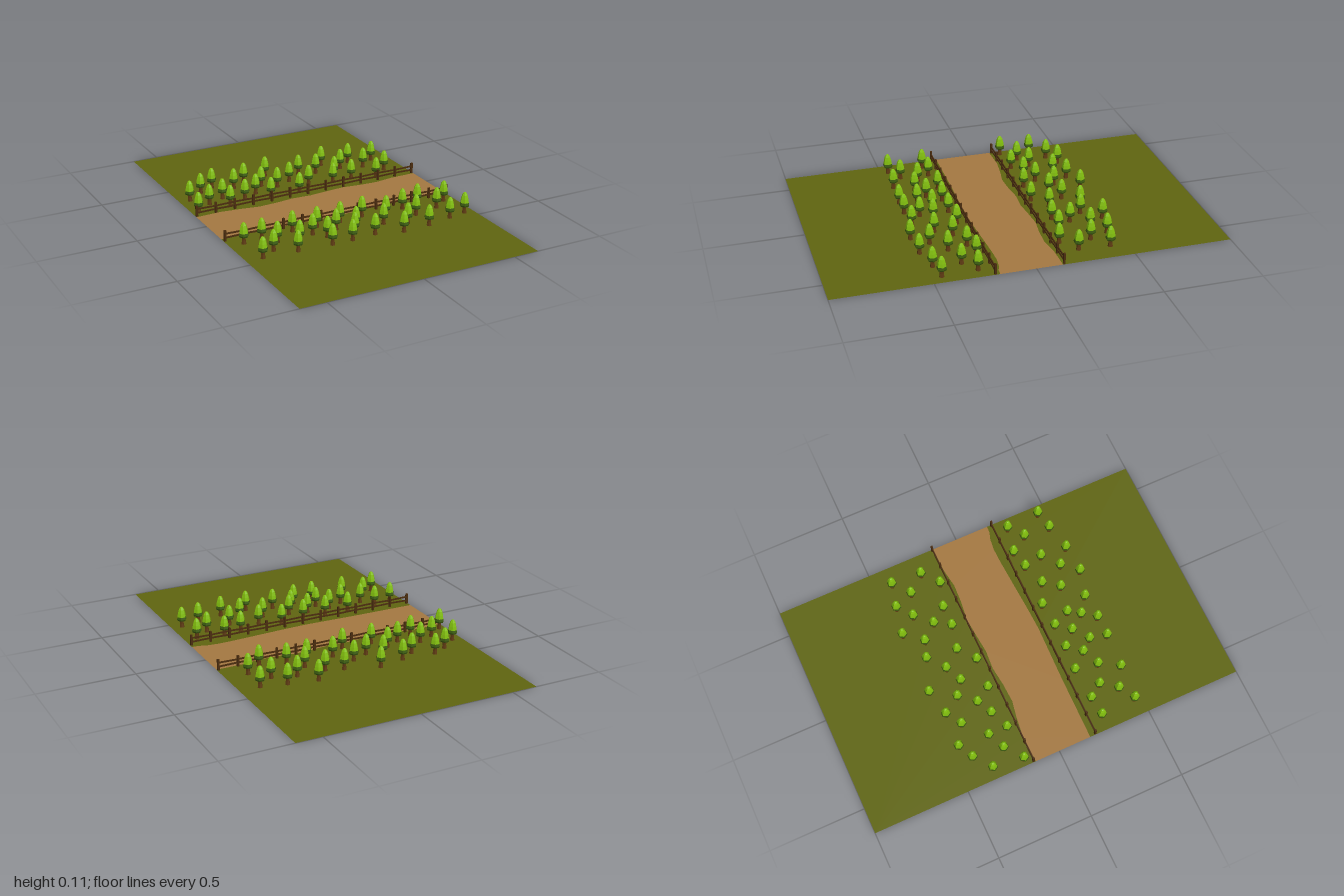
import * as THREE from 'three';

const material = (name, color, extra = {}) => {
  const m = new THREE.MeshStandardMaterial({ color, ...extra });
  m.name = name;
  return m;
};

// x, z of each tree in the two groves
const backGrove = [
  -.41, -.45, -.49, -.41, -.58, -.34, -.60, -.18, -.51, -.25, -.42, -.29, -.42, -.19, -.32, -.23,
  -.31, -.39, -.23, -.44, -.17, -.35, -.24, -.27, -.19, -.19, -.09, -.47, -.10, -.30, -.01, -.34,
  -.03, -.18, .08, -.41, .06, -.25, .17, -.38, .19, -.22, .25, -.47, .24, -.30, .32, -.38,
  .30, -.22, .40, -.44, .44, -.34, .43, -.18, .53, -.41, .52, -.25];
const frontGrove = [
  -.56, .27, -.46, .26, -.47, .41, -.55, .46, -.41, .33, -.37, .47, -.31, .37, -.29, .25,
  -.22, .33, -.16, .26, -.17, .39, -.19, .48, -.08, .48, -.09, .33, -.03, .26, -.03, .41,
  .01, .35, .05, .47, .10, .25, .15, .38, .21, .30, .19, .51, .26, .43, .33, .26,
  .35, .36, .34, .50, .43, .24, .49, .33, .48, .47, .57, .27, .58, .45];

// Wavy borders of the dirt path, as x, z
const backEdge = [[-.635, -.13], [-.5, -.135], [-.38, -.12], [-.3, -.105], [-.2, -.11], [-.1, -.122],
  [0, -.115], [.1, -.125], [.2, -.133], [.3, -.12], [.4, -.115], [.5, -.13], [.635, -.132]];
const frontEdge = [[-.635, .172], [-.3, .175], [0, .183], [.12, .178], [.25, .17], [.42, .16],
  [.5, .158], [.56, .165], [.6, .178], [.635, .18]];

export function createModel() {
  const model = new THREE.Group();
  const grass = material('grass green', 0x5f6510, { side: THREE.DoubleSide });
  const dirt = material('dirt brown', 0xa47841, { side: THREE.DoubleSide });
  const wood = material('fence wood', 0x4a2c0e, { flatShading: true });
  const bark = material('bark brown', 0x5e3a12, { flatShading: true });
  const leaf = material('leaf green', 0x82c00e, { flatShading: true });
  const shade = material('deep leaf green', 0x3c5c10, { flatShading: true });

  const add = (parent, name, geometry, mat, x = 0, y = 0, z = 0) => {
    const mesh = new THREE.Mesh(geometry, mat);
    mesh.name = name;
    mesh.position.set(x, y, z);
    parent.add(mesh);
    return mesh;
  };

  // Flat ground: two meadows with the path between them
  const flat = (name, points, mat) => {
    const shape = new THREE.Shape(points.map(([x, z]) => new THREE.Vector2(x, -z)));
    add(model, name, new THREE.ShapeGeometry(shape).rotateX(-Math.PI / 2), mat);
  };
  flat('backMeadow', [[-.635, -1], ...backEdge, [.635, -1]], grass);
  flat('frontMeadow', [[-.635, 1], ...frontEdge, [.635, 1]], grass);
  flat('path', [...backEdge, ...[...frontEdge].reverse()], dirt);

  // Six-sided trees: trunk, dark skirt and bright egg-shaped crown
  const lathe = (points) =>
    new THREE.LatheGeometry(points.map(([r, y]) => new THREE.Vector2(r, y)), 6, Math.PI / 6);
  const trunkGeo = lathe([[0, 0], [.013, 0], [.010, .02], [.010, .042]]);
  const skirtGeo = lathe([[0, .042], [.022, .037], [.026, .045], [.0225, .062]]);
  const crownGeo = lathe([[.0235, .058], [.0205, .077], [.015, .097], [.008, .109], [0, .113]]);
  const plantGrove = (name, spots) => {
    const grove = new THREE.Group();
    grove.name = name;
    for (let i = 0; i < spots.length; i += 2) {
      const tree = new THREE.Group();
      tree.name = 'tree';
      tree.position.set(spots[i], 0, spots[i + 1]);
      add(tree, 'trunk', trunkGeo, bark);
      add(tree, 'lowerFoliage', skirtGeo, shade);
      add(tree, 'crown', crownGeo, leaf);
      grove.add(tree);
    }
    model.add(grove);
  };
  plantGrove('backGrove', backGrove);
  plantGrove('frontGrove', frontGrove);

  // Post-and-rail fences along both sides of the path
  const bays = 12, pitch = 1.256 / bays;
  const postGeo = new THREE.BoxGeometry(.011, .057, .010);
  const railGeo = new THREE.BoxGeometry(pitch + .004, .008, .005);
  const buildFence = (name, z) => {
    const fence = new THREE.Group();
    fence.name = name;
    fence.position.z = z;
    for (let i = 0; i <= bays; i++) {
      const x = -.628 + i * pitch;
      add(fence, 'post', postGeo, wood, x, .0285, 0);
      if (i === bays) break;
      const tilt = i % 2 ? .02 : -.02;
      add(fence, 'upperRail', railGeo, wood, x + pitch / 2, .038, 0).rotation.z = tilt;
      add(fence, 'lowerRail', railGeo, wood, x + pitch / 2, .019, 0).rotation.z = -tilt;
    }
    model.add(fence);
  };
  buildFence('backFence', -.14);
  buildFence('frontFence', .202);

  return model;
}
